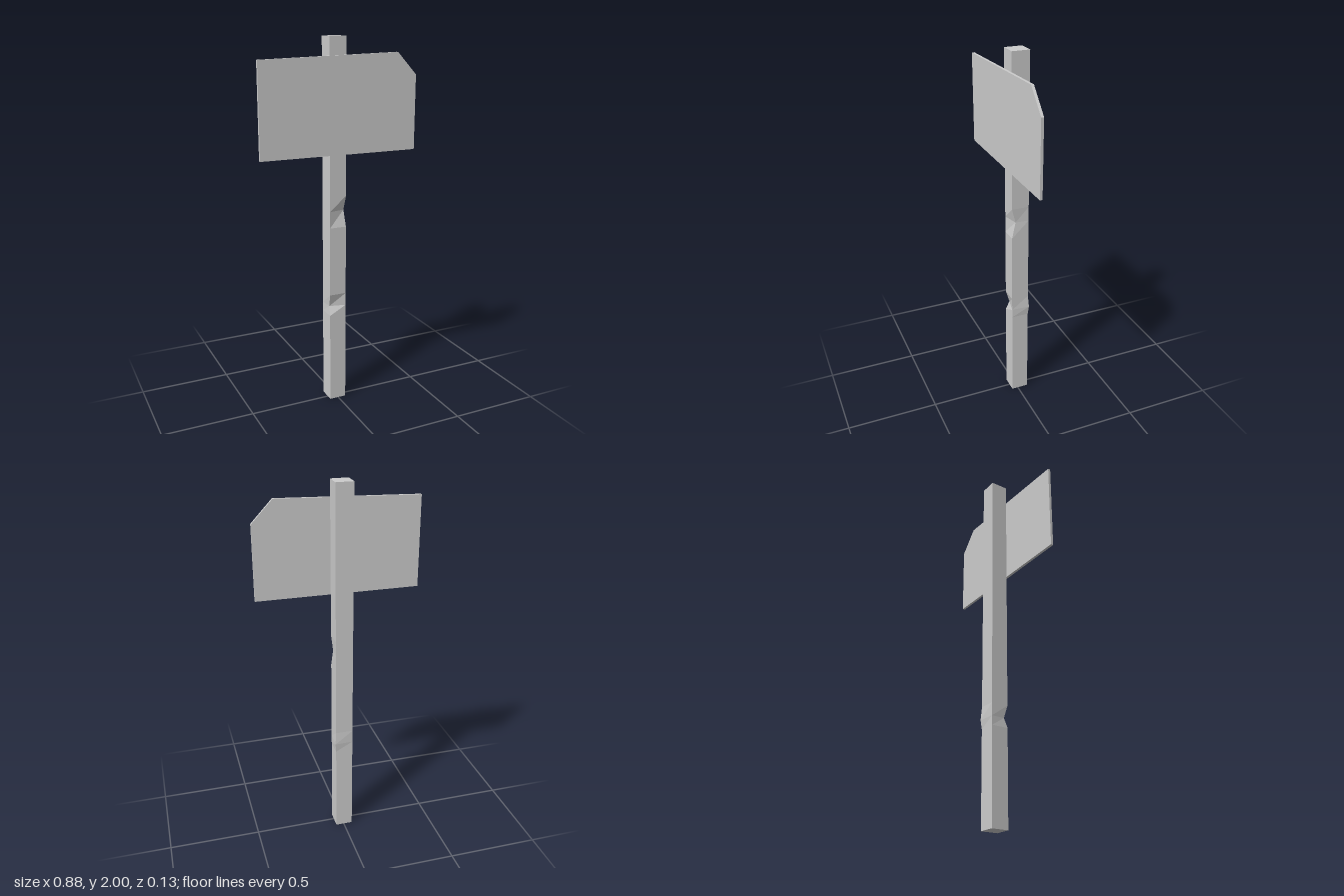
import * as THREE from 'three';

const material = () => new THREE.MeshStandardMaterial({ color: 0xcccccc, flatShading: true });

// Square post whose corners are nicked or swollen at a few heights
function createPost() {
  const heights = [0, 0.51, 0.56, 0.63, 1.01, 1.1, 1.18, 2];
  const xMin = -0.049, xMax = 0.045, zMin = -0.06, zMax = 0.035;
  // Moved corners: ring index, corner signs, offset in x and z
  const dents = [
    { ring: 2, sx: -1, sz: 1, dx: 0.004, dz: -0.02 },
    { ring: 2, sx: 1, sz: -1, dx: 0.005, dz: -0.005 },
    { ring: 5, sx: 1, sz: 1, dx: -0.005, dz: -0.022 },
  ];
  const rings = heights.length - 1;
  const geometry = new THREE.BoxGeometry(1, 1, 1, 1, rings, 1);
  const p = geometry.attributes.position;
  for (let i = 0; i < p.count; i++) {
    const sx = Math.sign(p.getX(i)), sz = Math.sign(p.getZ(i));
    const ring = Math.round((p.getY(i) + 0.5) * rings);
    let x = sx > 0 ? xMax : xMin;
    let z = sz > 0 ? zMax : zMin;
    for (const d of dents) {
      if (d.ring === ring && d.sx === sx && d.sz === sz) {
        x += d.dx;
        z += d.dz;
      }
    }
    p.setXYZ(i, x, heights[ring], z);
  }
  const flat = geometry.toNonIndexed();
  flat.computeVertexNormals();
  const post = new THREE.Mesh(flat, material());
  post.name = 'post';
  return post;
}

// Thin sign board with a sloping top and one cut corner
function createBoard() {
  const outline = [[-0.438, 1.405], [0.438, 1.405], [0.438, 1.8], [0.327, 1.917], [-0.438, 1.893]];
  const shape = new THREE.Shape(outline.map(([x, y]) => new THREE.Vector2(x, y)));
  const geometry = new THREE.ExtrudeGeometry(shape, { depth: 0.014, bevelEnabled: false });
  const board = new THREE.Mesh(geometry, material());
  board.name = 'signBoard';
  board.position.z = 0.047;
  return board;
}

export function createModel() {
  const model = new THREE.Group();
  model.name = 'signpost';
  model.add(createPost(), createBoard());
  return model;
}
